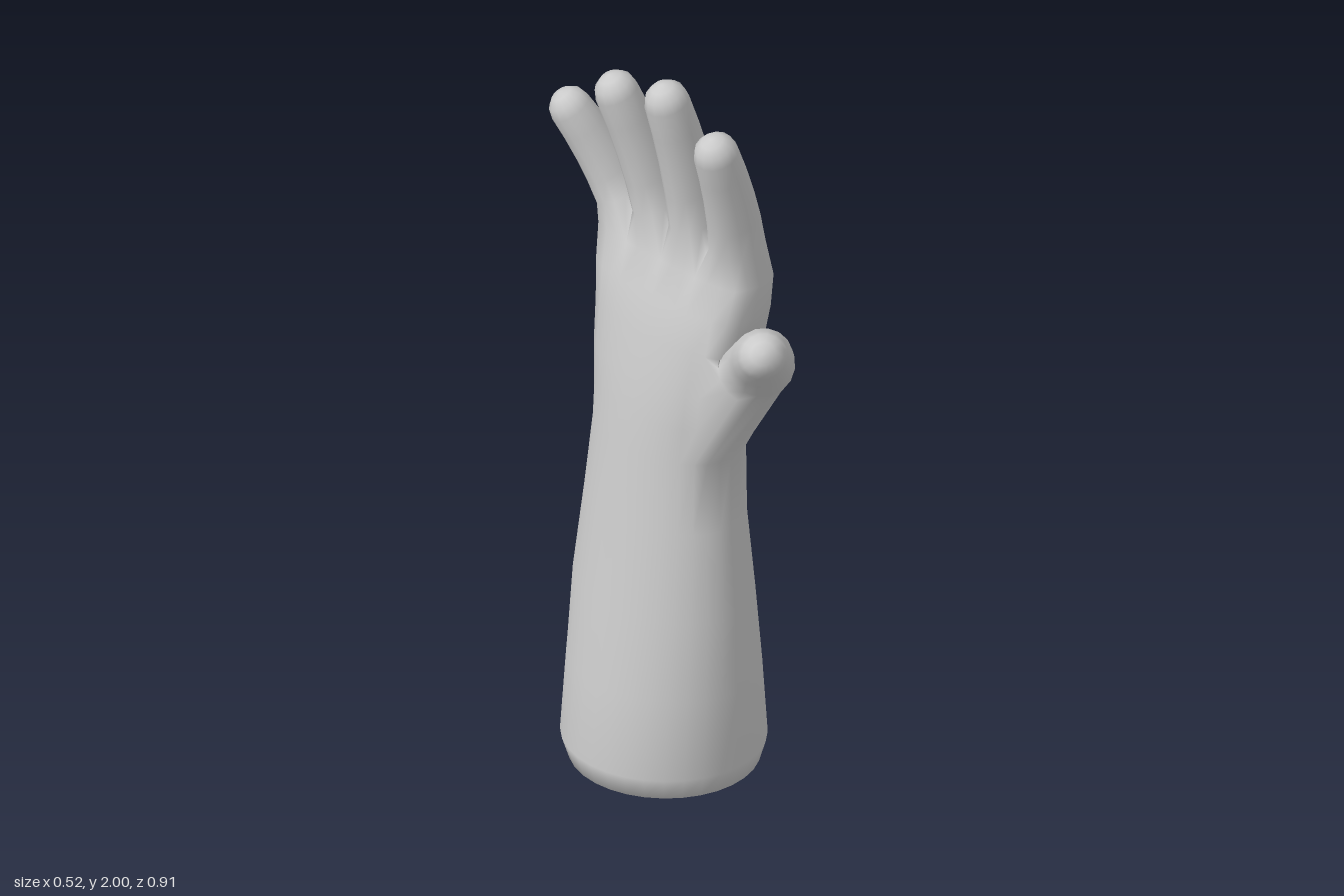
import * as THREE from 'three';

const V = (x, y, z) => new THREE.Vector3(x, y, z);
const K = 3;                    // columns per finger, on the back and on the palm
const M = 3;                    // points across the hand's edge and across each web
const SPAN = 4 * K;             // columns over all four fingers
const N = 2 * (SPAN + M + 1);   // points in one ring
const PALM = SPAN + 1 + M;      // first point on the palm side

// Cross-sections: y, centre x, centre z, half width x, half width z, flatness
const RINGS = [
  [0, 0, -0.088, 0.245, 0.25, 0],
  [0.06, 0, -0.09, 0.262, 0.27, 0],
  [0.28, 0.003, -0.092, 0.235, 0.268, 0],
  [0.5, 0.006, -0.095, 0.206, 0.262, 0],
  [0.75, 0.012, -0.095, 0.173, 0.24, 0],
  [0.95, 0.02, -0.09, 0.157, 0.226, 0.1],
  [1.05, 0.025, -0.085, 0.147, 0.23, 0.3],
  [1.15, 0.031, -0.08, 0.138, 0.237, 0.5],
  [1.27, 0.044, -0.077, 0.124, 0.246, 0.7],
  [1.37, 0.056, -0.076, 0.112, 0.259, 0.9],
  [1.46, 0.074, -0.085, 0.092, 0.272, 1],
];

// Ring point: an ellipse that flattens into a palm with evenly spaced fingers
function ringPoint([y, cx, cz, rx, rz, flat], j) {
  const a = THREE.MathUtils.degToRad(67.5 - (j * 360) / N);
  const c = Math.cos(a), s = Math.sin(a);
  const col = j % PALM, u = 1 - (2 * col) / SPAN;
  const side = j < PALM ? 1 : -1;
  const fx = col <= SPAN ? side * (1 - 0.25 * u ** 4) : c * 1.96;
  const fz = col <= SPAN ? side * u * 0.924 : s;
  return V(cx + rx * THREE.MathUtils.lerp(c, fx, flat), y, cz + rz * THREE.MathUtils.lerp(s, fz, flat));
}

export function createModel() {
  const points = [], index = [];
  const add = (p) => points.push(p) - 1;
  const quad = (a, b, c, d) => index.push(a, b, c, a, c, d);
  const bridge = (lo, hi, skip = () => false) => lo.forEach((a, j) => {
    const k = (j + 1) % lo.length;
    if (!skip(j)) quad(a, lo[k], hi[k], hi[j]);
  });
  const ring = (spec) => Array.from({ length: N }, (_, j) => add(ringPoint(spec, j)));

  // Extend a loop of shared points along stations [x, y, z, ru, rv], ending in a dome
  function grow(loop, stations) {
    const n = loop.length;
    const root = loop.reduce((sum, i) => sum.add(points[i]), V(0, 0, 0)).divideScalar(n);
    const path = [root, ...stations.map((s) => V(s[0], s[1], s[2]))];
    const frame = (i) => {
      const t = path[Math.min(i + 1, path.length - 1)].clone().sub(path[Math.max(i - 1, 0)]).normalize();
      const u = V(1, 0, 0).addScaledVector(t, -t.x).normalize();
      return { t, u, v: t.clone().cross(u) };
    };
    // Turn that lines the round sections up with the root loop
    const f0 = frame(0);
    let sn = 0, cs = 0;
    loop.forEach((i, j) => {
      const d = points[i].clone().sub(root);
      const a = Math.atan2(d.dot(f0.v), d.dot(f0.u)) - (j * 2 * Math.PI) / n;
      sn += Math.sin(a);
      cs += Math.cos(a);
    });
    const turn = Math.atan2(sn, cs);
    let last = loop;
    const section = (c, { u, v }, ru, rv) => {
      const next = loop.map((_, j) => {
        const a = turn + (j * 2 * Math.PI) / n;
        return add(c.clone().addScaledVector(u, ru * Math.cos(a)).addScaledVector(v, rv * Math.sin(a)));
      });
      bridge(last, next);
      last = next;
    };
    stations.forEach(([, , , ru, rv], i) => section(path[i + 1], frame(i + 1), ru, rv));
    const end = path[path.length - 1], f = frame(path.length - 1);
    const [, , , ru, rv] = stations[stations.length - 1];
    for (const a of [0.55, 1.05]) {
      section(end.clone().addScaledVector(f.t, rv * Math.sin(a)), f, ru * Math.cos(a), rv * Math.cos(a));
    }
    const pole = add(end.clone().addScaledVector(f.t, rv));
    last.forEach((a, j) => index.push(a, last[(j + 1) % n], pole));
  }

  // Inner lining, from its closed end down to the cuff rim
  const lining = [5, 3, 1, 0].map((i) => {
    const [y, cx, cz, rx, rz, flat] = RINGS[i];
    return ring([y, cx, cz, rx * 0.88, rz * 0.88, flat]);
  });
  const inside = add(V(0.05, 1.25, -0.09));
  lining[0].forEach((a, j) => index.push(inside, lining[0][(j + 1) % N], a));

  // Cuff, forearm and palm, leaving a hole for the thumb
  const outer = RINGS.map(ring);
  const r0 = 5, r1 = 8, c0 = N - 5, c1 = N;
  for (let i = 1; i < lining.length; i++) bridge(lining[i - 1], lining[i]);
  bridge(lining[lining.length - 1], outer[0]);
  for (let r = 0; r < outer.length - 1; r++) {
    bridge(outer[r], outer[r + 1], (j) => r >= r0 && r < r1 && j >= c0);
  }

  // Thumb
  const hole = [];
  for (let c = c0; c < c1; c++) hole.push(outer[r0][c % N]);
  for (let r = r0; r < r1; r++) hole.push(outer[r][c1 % N]);
  for (let c = c1; c > c0; c--) hole.push(outer[r1][c % N]);
  for (let r = r1; r > r0; r--) hole.push(outer[r][c0]);
  grow(hole, [
    [0.025, 1.225, 0.205, 0.092, 0.088],
    [0.0, 1.295, 0.27, 0.088, 0.086],
    [-0.055, 1.36, 0.33, 0.08, 0.076],
    [-0.105, 1.41, 0.383, 0.066, 0.062],
  ]);

  // Webs: points from back to palm at each finger boundary
  const top = outer[outer.length - 1];
  const back = (i) => top[i * K], palm = (i) => top[PALM + SPAN - i * K];
  const webs = [0, 1, 2, 3, 4].map((i) => Array.from({ length: M }, (_, m) => {
    if (i === 0) return top[N - 1 - m];
    if (i === 4) return top[SPAN + 1 + m];
    const t = (m + 1) / (M + 1);
    const p = points[back(i)].clone().lerp(points[palm(i)], t);
    p.y += 0.05 * Math.sin(Math.PI * t);
    return add(p);
  }));

  // Fingers, index to little: root z, tip z, tip y, tip x, thickness
  [
    [0.108, 0.132, 1.925, -0.04, 1],
    [-0.03, -0.055, 2.0, -0.035, 1],
    [-0.155, -0.24, 1.952, -0.035, 0.98],
    [-0.285, -0.415, 1.83, -0.03, 0.95],
  ].forEach(([z0, z1, yTip, xTip, w], i) => {
    const loop = [];
    for (let k = 0; k <= K; k++) loop.push(top[i * K + k]);
    loop.push(...webs[i + 1]);
    for (let k = K; k >= 0; k--) loop.push(top[PALM + SPAN - i * K - k]);
    loop.push(...[...webs[i]].reverse());
    const y0 = 1.47, y1 = yTip - 0.055;
    grow(loop, [0.22, 0.42, 0.62, 0.82, 1].map((t) => [
      THREE.MathUtils.lerp(0.073, xTip + 0.012, t ** 1.6),
      THREE.MathUtils.lerp(y0, y1, t),
      THREE.MathUtils.lerp(z0, z1, t),
      w * THREE.MathUtils.lerp(0.087, 0.06, t),
      w * THREE.MathUtils.lerp(0.064, 0.058, t),
    ]));
  });

  const geometry = new THREE.BufferGeometry().setFromPoints(points);
  geometry.setIndex(index);
  geometry.computeVertexNormals();
  const glove = new THREE.Mesh(geometry, new THREE.MeshStandardMaterial({ color: 0xcccccc }));
  glove.name = 'glove';
  const group = new THREE.Group();
  group.name = 'longRubberGlove';
  group.add(glove);
  return group;
}
